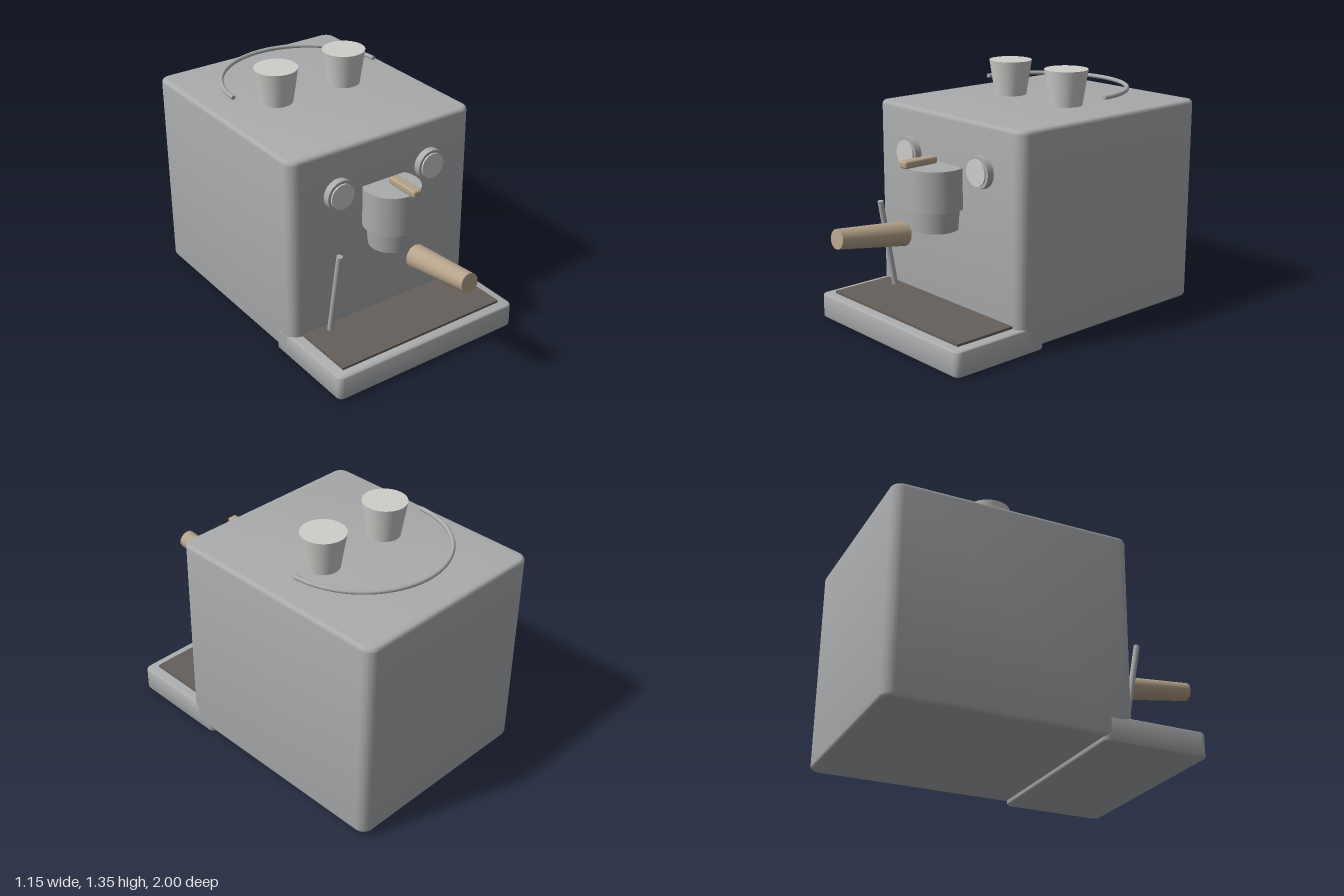
import * as THREE from 'three';
import { toCreasedNormals } from 'three/addons/utils/BufferGeometryUtils.js';
import { RoundedBoxGeometry } from 'three/addons/geometries/RoundedBoxGeometry.js';

const material = (name, color) => {
  const m = new THREE.MeshStandardMaterial({ color });
  m.name = name;
  return m;
};

// Upright block with round corners in plan and softened top and bottom edges.
function roundedSlab(w, h, d, radius, bevel) {
  const x = w / 2 - bevel, y = d / 2 - bevel, r = radius - bevel;
  const s = new THREE.Shape();
  s.moveTo(-x + r, -y);
  s.absarc(x - r, -y + r, r, -Math.PI / 2, 0);
  s.absarc(x - r, y - r, r, 0, Math.PI / 2);
  s.absarc(-x + r, y - r, r, Math.PI / 2, Math.PI);
  s.absarc(-x + r, -y + r, r, Math.PI, Math.PI * 1.5);
  const g = new THREE.ExtrudeGeometry(s, {
    depth: h - 2 * bevel, bevelThickness: bevel, bevelSize: bevel, bevelSegments: 4, curveSegments: 8,
  });
  g.translate(0, 0, bevel - h / 2).rotateX(-Math.PI / 2);
  return toCreasedNormals(g, 0.6);
}

export function createModel() {
  const model = new THREE.Group();
  model.name = 'espressoMachine';
  const steel = material('brushed steel', 0xa9abad);
  const pale = material('pale ceramic', 0xd0cecb);
  const dark = material('dark grille', 0x655f5a);
  const wood = material('light wood', 0xb5a28a);

  const add = (name, geometry, mat, x, y, z) => {
    const mesh = new THREE.Mesh(geometry, mat);
    mesh.name = name;
    mesh.position.set(x, y, z);
    model.add(mesh);
    return mesh;
  };
  // Round bar between two points, with a radius for each end.
  const bar = (name, mat, from, to, r0, r1) => {
    const a = new THREE.Vector3(...from), b = new THREE.Vector3(...to);
    const dir = b.clone().sub(a);
    const mid = a.clone().add(b).multiplyScalar(0.5);
    const mesh = add(name, new THREE.CylinderGeometry(r1, r0, dir.length(), 32), mat, mid.x, mid.y, mid.z);
    mesh.quaternion.setFromUnitVectors(new THREE.Vector3(0, 1, 0), dir.normalize());
  };

  // Housing, drip tray and grille
  add('body', roundedSlab(1.15, 1.13, 1.305, 0.06, 0.022), steel, 0, 0.59, -0.3475);
  add('dripTray', roundedSlab(1.15, 0.137, 0.585, 0.035, 0.014), steel, 0, 0.0685, 0.4275);
  add('dripGrille', new THREE.BoxGeometry(1.03, 0.02, 0.45), dark, 0, 0.14, 0.44);

  // Brew head and filter basket
  add('brewHead', new THREE.CylinderGeometry(0.152, 0.152, 0.22, 48), steel, 0, 0.79, 0.375);
  add('filterBasket', new THREE.CylinderGeometry(0.131, 0.12, 0.115, 48), steel, 0, 0.6225, 0.375);

  // Wooden lever and handle
  add('lever', new RoundedBoxGeometry(0.054, 0.04, 0.208, 3, 0.012), wood, 0, 0.936, 0.482);
  bar('handle', wood, [0, 0.578, 0.585], [0, 0.631, 0.994], 0.064, 0.051);

  // Steam wand
  bar('steamWand', steel, [-0.38, 0.158, 0.362], [-0.38, 0.645, 0.449], 0.016, 0.016);

  // Gauges and cups, one of each per side
  for (const side of [-1, 1]) {
    const label = side < 0 ? 'right' : 'left';
    bar(label + 'GaugeRim', steel, [side * 0.287, 0.909, 0.29], [side * 0.287, 0.909, 0.344], 0.086, 0.086);
    bar(label + 'GaugeFace', pale, [side * 0.287, 0.909, 0.344], [side * 0.287, 0.909, 0.352], 0.07, 0.07);
    add(label + 'Cup', new THREE.CylinderGeometry(0.118, 0.088, 0.194, 40), pale, side * 0.218, 1.251, -0.347);
  }

  // Half-round cup rail
  const rail = add('cupRail', new THREE.TorusGeometry(0.455, 0.012, 10, 64, Math.PI), steel, 0, 1.221, -0.39);
  rail.rotation.x = -Math.PI / 2;
  for (const side of [-1, 1]) {
    add('railEnd', new THREE.CircleGeometry(0.012, 12), steel, side * 0.455, 1.221, -0.39);
  }
  return model;
}
